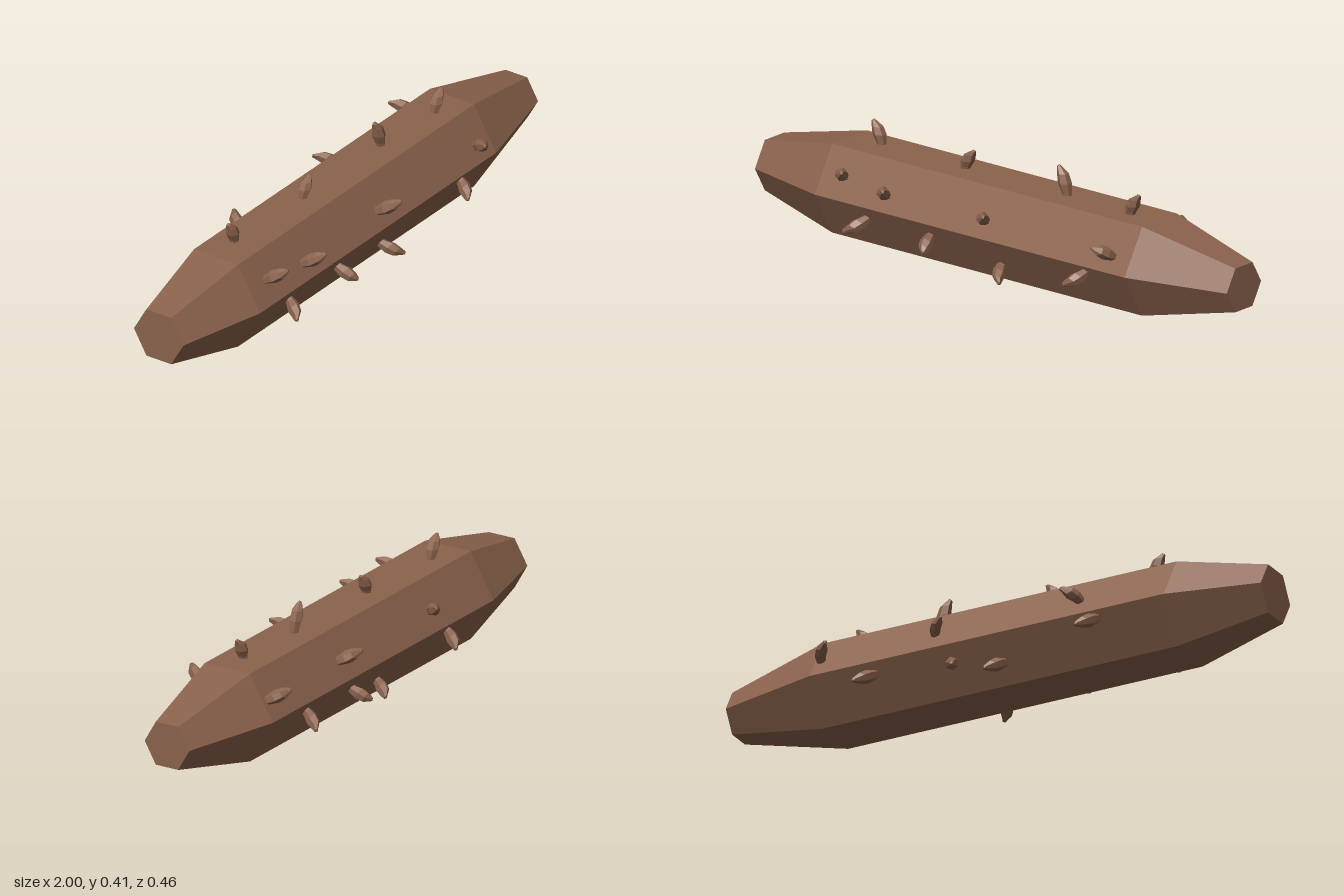
import * as THREE from 'three';

const CENTER_Y = 0.155;
const APOTHEM = 0.1535;

// Six-sided solid of revolution from [radius, height] pairs
function hexLathe(profile) {
  return new THREE.LatheGeometry(profile.map(([r, h]) => new THREE.Vector2(r, h)), 6);
}

// Curved, bulging thorn growing along +y with its tip bent along x
function thornGeometry(length, lean) {
  const geometry = hexLathe([[0.016, -0.1], [0.018, 0.1], [0.024, 0.4], [0.02, 0.72], [0.009, 0.92], [0, 1]]);
  const p = geometry.attributes.position;
  for (let i = 0; i < p.count; i++) {
    const t = p.getY(i);
    const bend = t > 0.9 ? lean : lean * Math.max(t, 0) * 0.8;
    p.setXYZ(i, p.getX(i) + bend, t * length, p.getZ(i) * 0.95);
  }
  geometry.computeVertexNormals();
  return geometry;
}

export function createModel() {
  const group = new THREE.Group();
  const bark = new THREE.MeshStandardMaterial({ color: 0x8a624c, flatShading: true });

  // Hexagonal log with tapered, flat-cut ends
  const log = new THREE.Mesh(
    hexLathe([[0, -1], [0.1, -1], [0.177, -0.68], [0.177, 0.64], [0.087, 1], [0, 1]]), bark);
  log.name = 'log';
  log.rotation.z = -Math.PI / 2;
  log.position.y = CENTER_Y;
  group.add(log);

  // Thorn rows: face normal angle, then [x, offset up the face, length, lean]
  const rows = [
    { name: 'topThorn', angle: 90, thorns: [
      [-0.555, 0.015, 0.08, -0.033], [-0.19, 0.003, 0.07, 0.035],
      [0.245, 0.003, 0.1, -0.033], [0.525, -0.012, 0.075, 0.035]] },
    { name: 'upperFrontThorn', angle: 30, thorns: [
      [-0.59, -0.005, 0.075, 0.035], [-0.4, -0.03, 0.08, 0.035],
      [0.02, -0.025, 0.08, 0.04], [0.565, -0.03, 0.08, -0.035]] },
    { name: 'lowerFrontThorn', angle: -30, thorns: [
      [-0.48, 0.035, 0.08, -0.045], [-0.21, 0.035, 0.08, 0.02],
      [0.07, -0.02, 0.08, 0.04], [0.46, 0.06, 0.075, -0.04]] },
    { name: 'upperBackThorn', angle: 150, thorns: [
      [-0.35, -0.015, 0.07, 0.04], [0.19, -0.015, 0.07, -0.05], [0.615, -0.015, 0.075, -0.045]] },
    { name: 'lowerBackThorn', angle: 210, thorns: [
      [-0.425, 0.06, 0.08, 0.045], [-0.06, -0.012, 0.075, 0.04],
      [0.12, 0.025, 0.075, -0.025], [0.405, 0.045, 0.085, 0.045]] },
  ];
  for (const { name, angle, thorns } of rows) {
    const a = THREE.MathUtils.degToRad(angle);
    const up = Math.cos(a) < -0.01 ? -1 : 1;
    for (const [x, offset, length, lean] of thorns) {
      const thorn = new THREE.Mesh(thornGeometry(length, lean), bark);
      thorn.name = name;
      const v = offset * up;
      thorn.position.set(x,
        CENTER_Y + APOTHEM * Math.sin(a) + v * Math.cos(a),
        APOTHEM * Math.cos(a) - v * Math.sin(a));
      thorn.rotation.x = Math.PI / 2 - a;
      group.add(thorn);
    }
  }
  return group;
}
